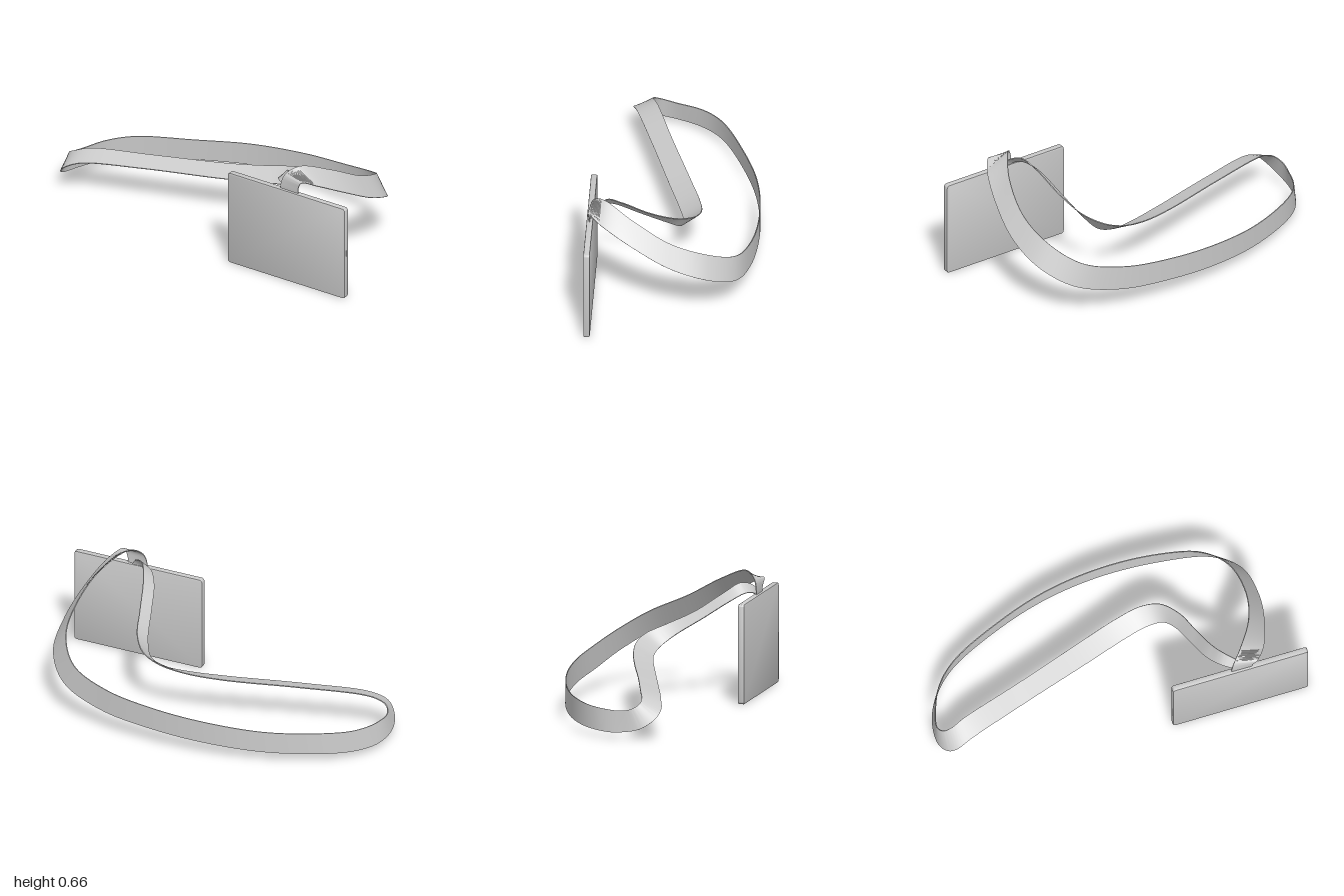
import * as THREE from 'three';
import { toCreasedNormals } from 'three/addons/utils/BufferGeometryUtils.js';

const grey = new THREE.MeshStandardMaterial({ color: 0xcccccc, side: THREE.DoubleSide });

// Paired points along the lower/outer and upper/inner edge of the neck strap
const outerEdge = [
  [0.69, 0.5, 0.43], [0.69, 0.57, 0.437], [0.715, 0.613, 0.44], [0.77, 0.58, 0.37],
  [0.83, 0.485, 0.2], [0.86, 0.375, 0], [0.83, 0.285, -0.2], [0.7, 0.195, -0.345],
  [0.45, 0.13, -0.42], [0.12, 0.1, -0.447], [-0.2, 0.075, -0.418], [-0.5, 0.053, -0.335],
  [-0.8, 0.046, -0.195], [-0.92, 0.037, -0.08], [-0.985, 0.035, 0.05], [-0.997, 0.06, 0.19],
  [-0.965, 0.11, 0.265], [-0.92, 0.155, 0.288], [-0.83, 0.195, 0.265], [-0.5, 0.217, 0.165],
  [-0.1, 0.226, 0.045], [0.12, 0.238, -0.02], [0.24, 0.252, -0.045], [0.33, 0.28, -0.035],
  [0.38, 0.335, 0.03], [0.43, 0.43, 0.18], [0.475, 0.515, 0.31], [0.53, 0.555, 0.385],
  [0.585, 0.545, 0.42], [0.61, 0.49, 0.43],
];
const innerEdge = [
  [0.575, 0.5, 0.43], [0.575, 0.57, 0.432], [0.595, 0.625, 0.415], [0.645, 0.66, 0.36],
  [0.74, 0.597, 0.2], [0.785, 0.487, 0], [0.755, 0.4, -0.2], [0.64, 0.315, -0.345],
  [0.42, 0.26, -0.42], [0.12, 0.228, -0.447], [-0.2, 0.2, -0.418], [-0.5, 0.173, -0.332],
  [-0.79, 0.168, -0.195], [-0.905, 0.158, -0.085], [-0.97, 0.152, 0.06], [-0.985, 0.165, 0.14],
  [-0.96, 0.19, 0.178], [-0.915, 0.212, 0.18], [-0.84, 0.235, 0.155], [-0.5, 0.25, 0.055],
  [-0.1, 0.264, -0.07], [0.1, 0.287, -0.125], [0.24, 0.318, -0.143], [0.34, 0.35, -0.115],
  [0.42, 0.39, -0.02], [0.47, 0.455, 0.12], [0.52, 0.555, 0.27], [0.565, 0.605, 0.35],
  [0.635, 0.575, 0.41], [0.68, 0.49, 0.43],
];

// Thin solid ribbon spanned between two paired edge curves
function ribbon(edgeA, edgeB, thickness, steps) {
  const [a, b] = [edgeA, edgeB].map((pts) =>
    new THREE.CatmullRomCurve3(pts.map((p) => new THREE.Vector3(...p))));
  const positions = [], index = [];
  for (let i = 0; i <= steps; i++) {
    const t = i / steps;
    const pa = a.getPoint(t), pb = b.getPoint(t);
    const along = a.getTangent(t).add(b.getTangent(t));
    const n = pb.clone().sub(pa).cross(along).setLength(thickness / 2);
    for (const p of [pa.clone().add(n), pb.clone().add(n), pb.clone().sub(n), pa.clone().sub(n)]) {
      positions.push(p.x, p.y, p.z);
    }
    if (i === steps) break;
    for (let k = 0; k < 4; k++) {
      const p = i * 4 + k, q = i * 4 + ((k + 1) % 4);
      index.push(p, q, q + 4, p, q + 4, p + 4);
    }
  }
  const geo = new THREE.BufferGeometry();
  geo.setAttribute('position', new THREE.Float32BufferAttribute(positions, 3));
  geo.setIndex(index);
  return toCreasedNormals(geo, 0.7);
}

// Flat panel with rounded corners and a fine bevel, centred on its origin
function panel(w, h, depth, radius, bevel) {
  const x = w / 2 - bevel, y = h / 2 - bevel, r = radius;
  const s = new THREE.Shape();
  s.moveTo(-x + r, -y);
  s.lineTo(x - r, -y).absarc(x - r, -y + r, r, -Math.PI / 2, 0);
  s.absarc(x - r, y - r, r, 0, Math.PI / 2);
  s.absarc(-x + r, y - r, r, Math.PI / 2, Math.PI);
  s.absarc(-x + r, -y + r, r, Math.PI, Math.PI * 1.5);
  const geo = new THREE.ExtrudeGeometry(s, {
    depth: depth - 2 * bevel, bevelEnabled: true, bevelThickness: bevel,
    bevelSize: bevel, bevelSegments: 2, curveSegments: 5,
  });
  geo.center();
  return toCreasedNormals(geo, 0.6);
}

export function createModel() {
  const model = new THREE.Group();
  model.name = 'badgeOnStrap';
  const add = (name, geo, x = 0, y = 0, z = 0) => {
    const mesh = new THREE.Mesh(geo, grey);
    mesh.name = name;
    mesh.position.set(x, y, z);
    model.add(mesh);
  };

  // Badge holder with a small notch on its side
  add('badgeHolder', panel(0.758, 0.542, 0.034, 0.012, 0.005), 0.62, 0.271, 0.433);
  add('sideNotch', new THREE.BoxGeometry(0.004, 0.035, 0.006), 0.998, 0.27, 0.433);

  // Strap looping from the holder around the back and returning to it
  add('neckStrap', ribbon(outerEdge, innerEdge, 0.005, 290));
  return model;
}
